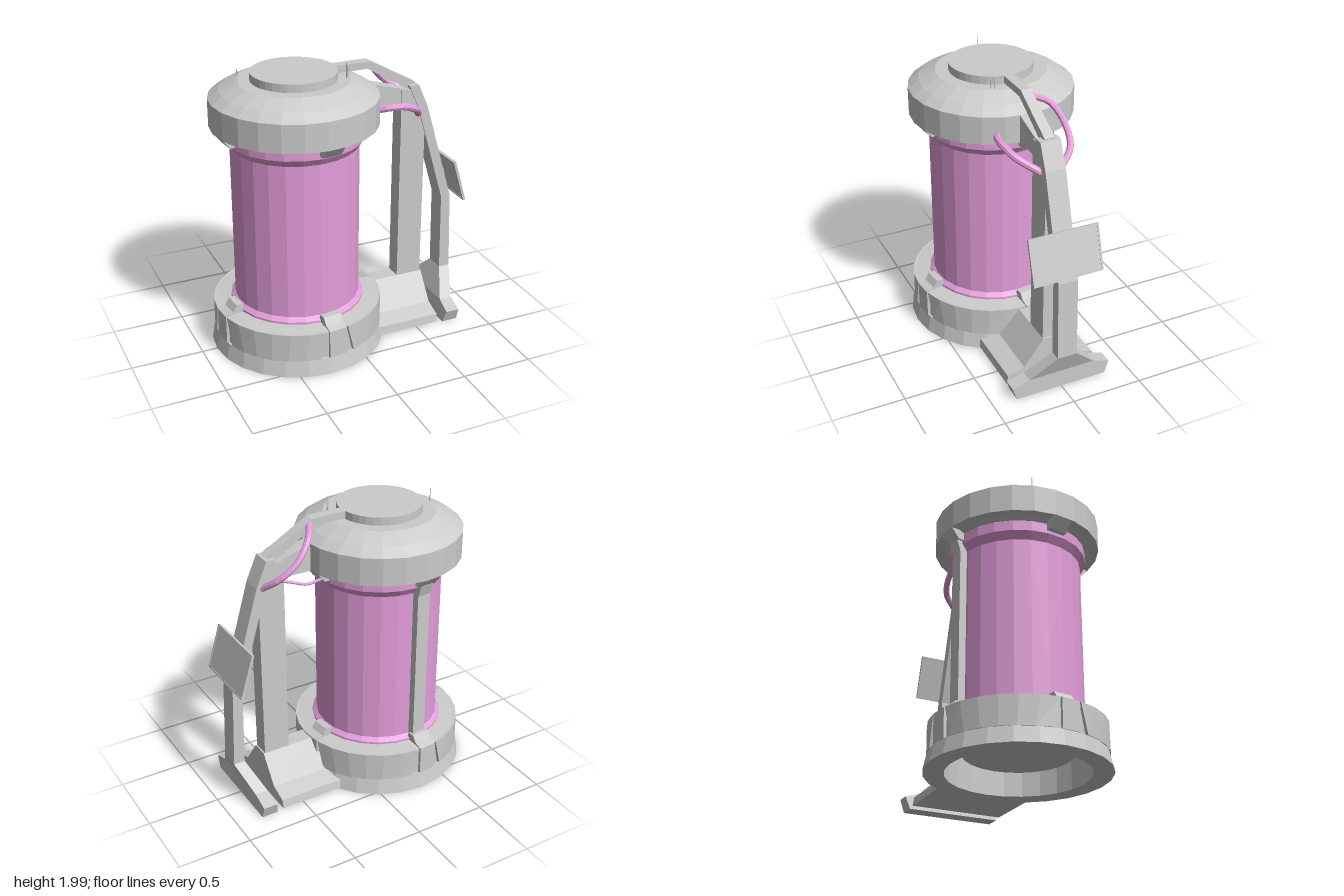
import * as THREE from 'three';

const grey = new THREE.MeshStandardMaterial({ color: 0xcccccc, flatShading: true });
const pink = new THREE.MeshStandardMaterial({ color: 0xe49edb, flatShading: true });
const CX = -0.29; // axis of the canister
const TURN = THREE.MathUtils.degToRad(6); // slight twist of the clips

function add(parent, name, geometry, material = grey) {
  const mesh = new THREE.Mesh(geometry, material);
  mesh.name = name;
  parent.add(mesh);
  return mesh;
}

function lathe(points, segments = 24) {
  return new THREE.LatheGeometry(points.map(p => new THREE.Vector2(...p)), segments);
}

// Outline in x/y, extruded along z and centred on z = 0
function prism(points, depth) {
  const shape = new THREE.Shape(points.map(p => new THREE.Vector2(...p)));
  return new THREE.ExtrudeGeometry(shape, { depth, bevelEnabled: false }).translate(0, 0, -depth / 2);
}

// Skin over rectangular sections [y, x0, x1, halfDepth]
function loft(sections) {
  const pos = [], index = [];
  sections.forEach(([y, x0, x1, z], s) => {
    pos.push(x0, y, z, x1, y, z, x1, y, -z, x0, y, -z);
    if (!s) return;
    for (let i = 0; i < 4; i++) {
      const a = (s - 1) * 4 + i, b = (s - 1) * 4 + (i + 1) % 4;
      index.push(a, b, b + 4, a, b + 4, a + 4);
    }
  });
  const t = (sections.length - 1) * 4;
  index.push(0, 2, 1, 0, 3, 2, t, t + 1, t + 2, t, t + 2, t + 3);
  const g = new THREE.BufferGeometry();
  g.setAttribute('position', new THREE.Float32BufferAttribute(pos, 3));
  g.setIndex(index);
  g.computeVertexNormals();
  return g;
}

// Box bent round the axis, narrower at its lower edge
function bentPanel(mid, halfAngle, y0, y1, r0, r1, taper) {
  const g = new THREE.BoxGeometry(2, 1, 1, 6, 1, 1);
  const p = g.attributes.position;
  for (let i = 0; i < p.count; i++) {
    const low = p.getY(i) < 0;
    const a = mid + p.getX(i) * halfAngle * (low ? taper : 1);
    const r = p.getZ(i) > 0 ? r1 : r0;
    p.setXYZ(i, r * Math.sin(a), low ? y0 : y1, r * Math.cos(a));
  }
  g.computeVertexNormals();
  return g;
}

function cable(points, radius) {
  const curve = new THREE.CatmullRomCurve3(points.map(p => new THREE.Vector3(...p)));
  return new THREE.TubeGeometry(curve, 14, radius, 8, false);
}

export function createModel() {
  const model = new THREE.Group();
  model.name = 'canister';

  const drum = new THREE.Group();
  drum.name = 'drum';
  drum.position.x = CX;
  model.add(drum);

  // Hollow base with a hanging floor
  add(drum, 'base', lathe([[0, 0.14], [0.36, 0.14], [0.36, 0.3], [0.47, 0.3], [0.47, 0.01], [0.605, 0.01],
    [0.58, 0.12], [0.565, 0.12], [0.565, 0.32], [0.42, 0.335], [0, 0.335]]));

  // Glass tube with flared ends
  add(drum, 'tube', lathe([[0.42, 0.31], [0.46, 0.33], [0.46, 0.345], [0.43, 0.37], [0.43, 1.46],
    [0.465, 1.51], [0.465, 1.58], [0.44, 1.6]]), pink);

  // Cap, shoulder and lid
  add(drum, 'cap', lathe([[0, 1.585], [0.47, 1.585], [0.5, 1.6], [0.56, 1.6], [0.56, 1.79], [0.49, 1.84],
    [0.375, 1.895], [0, 1.895]]));
  add(drum, 'lid', new THREE.CylinderGeometry(0.285, 0.285, 0.06, 36).translate(0, 1.92, 0));

  // Clips on four sides, with raised base panels between them
  for (let k = 0; k < 4; k++) {
    const side = new THREE.Group();
    side.name = 'clipSet';
    side.rotation.y = TURN + (k - 1) * Math.PI / 2;
    drum.add(side);
    add(side, 'lowerClip', prism([[0.5, 0.12], [0.58, 0.12], [0.58, 0.32], [0.525, 0.34], [0.495, 0.385],
      [0.45, 0.385], [0.43, 0.34]], 0.13));
    add(side, 'upperClip', prism([[0.44, 1.61], [0.44, 1.53], [0.495, 1.53], [0.55, 1.6], [0.55, 1.61]], 0.13));
    add(drum, 'basePanel', bentPanel(TURN + (k + 0.5) * Math.PI / 2, 0.66, 0.12, 0.32, 0.55, 0.583, 0.86));
    if (k === 2) {
      // Rear post between the clips
      add(side, 'rearPost', prism([[0.41, 0.33], [0.475, 0.33], [0.475, 1.45], [0.5, 1.53], [0.41, 1.53]], 0.1));
    }
  }

  // Platform beside the base
  const platform = prism([[-0.33, 0.02], [0.33, 0.02], [0.32, 0.08], [0.2, 0.12], [0.06, 0.31],
    [-0.06, 0.31], [-0.2, 0.12], [-0.32, 0.08]], 0.46);
  add(model, 'platform', platform.rotateY(Math.PI / 2).translate(0.43, 0, 0));

  // Upright column and its bracket to the cap
  add(model, 'column', prism([[0.465, 0.3], [0.65, 0.3], [0.65, 1.45], [0.61, 1.6], [0.54, 1.72], [0.465, 1.72]], 0.12));
  add(model, 'capBracket', prism([[0.2, 1.6], [0.48, 1.6], [0.54, 1.71], [0.26, 1.79], [0.2, 1.79]], 0.1));

  // Outer arm with its splayed foot
  add(model, 'arm', loft([[0.01, 0.705, 0.82, 0.33], [0.1, 0.72, 0.82, 0.36], [0.14, 0.73, 0.82, 0.24],
    [0.31, 0.81, 0.89, 0.07], [0.88, 0.8, 0.87, 0.07], [1.58, 0.595, 0.665, 0.07], [1.75, 0.52, 0.59, 0.07]]));
  add(model, 'topStrut', prism([[-0.02, 1.95], [0.24, 1.95], [0.58, 1.76], [0.52, 1.72], [0.22, 1.9], [-0.02, 1.9]], 0.07));

  // Tilted screen on the arm
  const screen = new THREE.Group();
  screen.name = 'screen';
  screen.position.set(0.837, 1.067, 0.005);
  screen.rotation.z = Math.atan2(0.09, 0.3);
  model.add(screen);
  add(screen, 'screenPanel', new THREE.BoxGeometry(0.012, 0.305, 0.48));
  for (const s of [-1, 1]) {
    add(screen, 'screenRim', new THREE.BoxGeometry(0.018, 0.012, 0.492)).position.y = s * 0.151;
    add(screen, 'screenRim', new THREE.BoxGeometry(0.018, 0.305, 0.012)).position.z = s * 0.24;
  }
  add(model, 'screenMount', new THREE.BoxGeometry(0.06, 0.08, 0.08)).position.set(0.805, 1.05, 0);

  // Cables with closed ends
  const cables = [
    [[[0.22, 1.66, 0.18], [0.3, 1.68, 0.225], [0.4, 1.675, 0.23], [0.5, 1.63, 0.19], [0.59, 1.55, 0.07]], 0.024],
    [[[0.26, 1.91, -0.03], [0.32, 1.87, -0.13], [0.43, 1.75, -0.185], [0.55, 1.65, -0.16], [0.62, 1.57, -0.06]], 0.022],
    [[[0.2, 1.55, -0.1], [0.33, 1.545, -0.11], [0.43, 1.58, -0.1], [0.51, 1.59, -0.05]], 0.01],
  ];
  for (const [points, radius] of cables) {
    add(model, 'cable', cable(points, radius), pink);
    for (const end of [points[0], points[points.length - 1]]) {
      add(model, 'cableEnd', new THREE.SphereGeometry(radius * 1.1, 8, 6), pink).position.set(...end);
    }
  }

  // Thin antennas
  for (const [x, z, top] of [[-0.65, -0.065, 1.985], [0.02, 0.14, 2], [0.04, 0.12, 1.97]]) {
    const h = top - 1.86;
    add(model, 'antenna', new THREE.CylinderGeometry(0.003, 0.003, h, 6)).position.set(x, top - h / 2, z);
  }

  return model;
}
